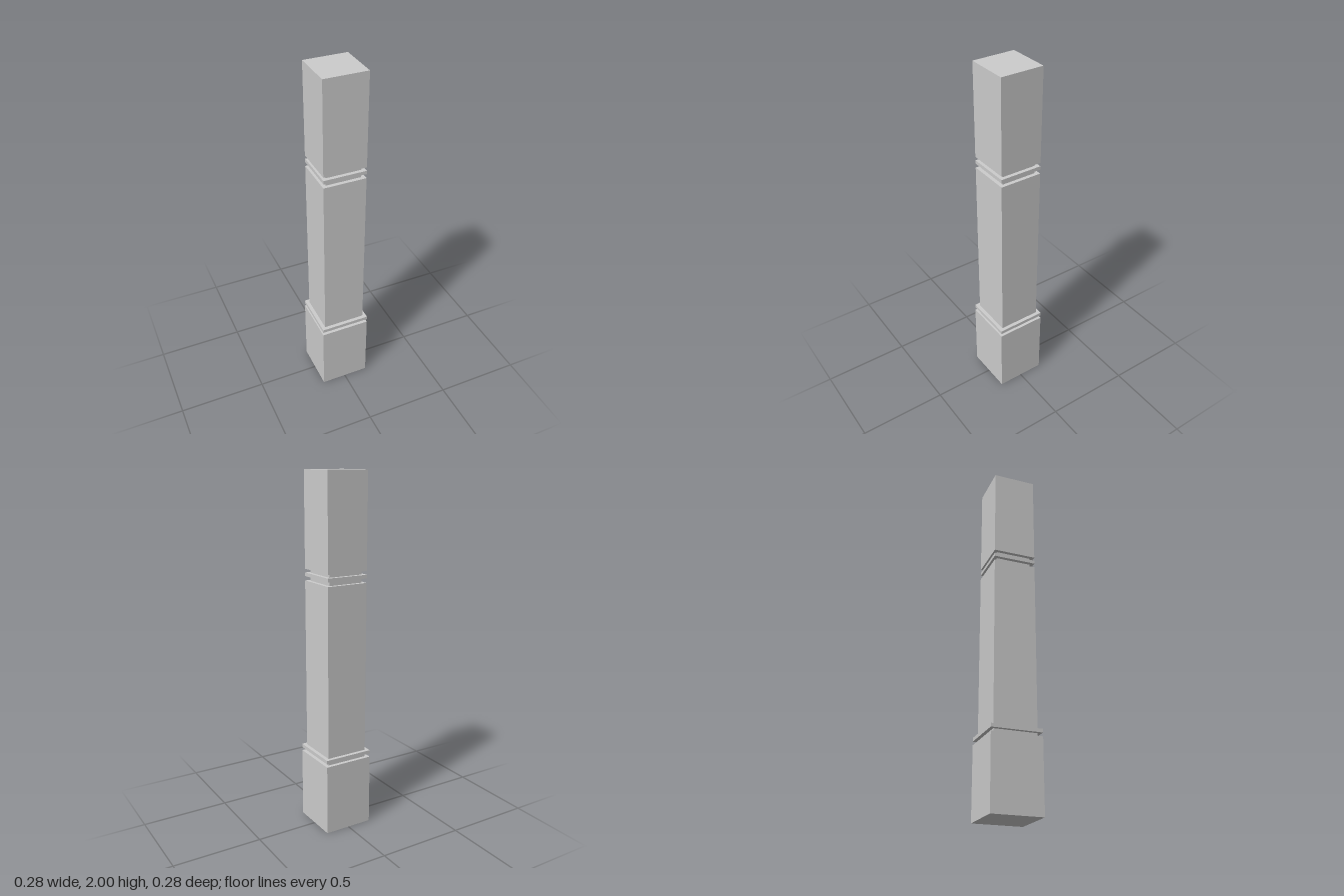
import * as THREE from 'three';

export function createModel() {
  const model = new THREE.Group();
  const material = new THREE.MeshStandardMaterial({ color: 0xcccccc, flatShading: true });

  // Square block centred on the axis, spanning two heights
  function block(name, width, bottom, top) {
    const mesh = new THREE.Mesh(new THREE.BoxGeometry(width, top - bottom, width), material);
    mesh.name = name;
    mesh.position.y = (bottom + top) / 2;
    model.add(mesh);
  }

  const baseWidth = 0.284, shaftWidth = 0.242, neckWidth = 0.2;

  // Plinth and the thin band floating just above it
  block('base', baseWidth, 0, 0.407);
  block('baseBand', baseWidth, 0.427, 0.447);

  // Main shaft, rising from the plinth through the band
  block('shaft', shaftWidth, 0.407, 1.413);

  // Recessed neck with a thin band around its middle
  block('neck', neckWidth, 1.413, 1.477);
  block('neckBand', shaftWidth, 1.437, 1.457);

  // Top block
  block('topBlock', shaftWidth, 1.477, 2);

  return model;
}
